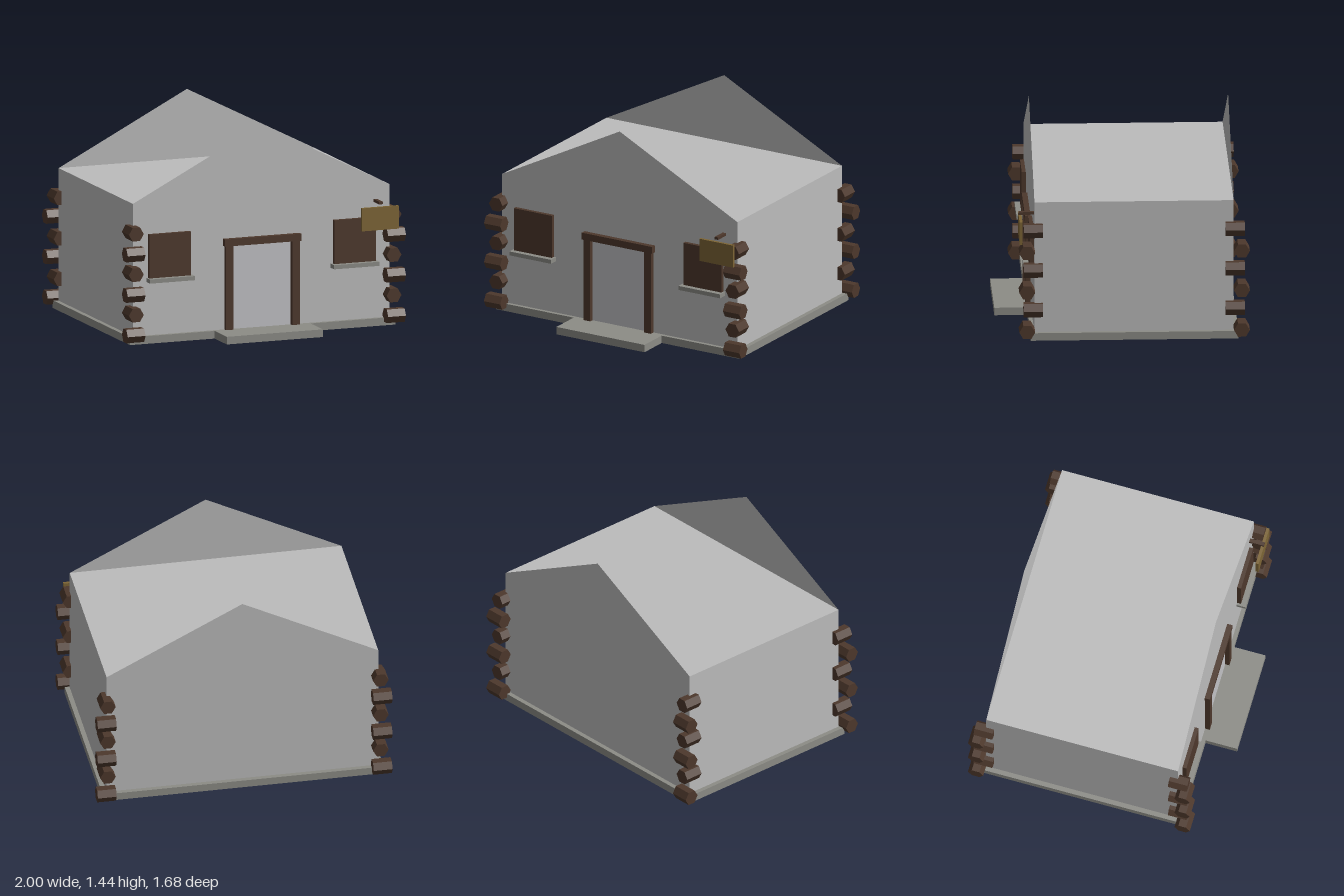
import * as THREE from 'three';

const mat = (name, color) => {
  const m = new THREE.MeshStandardMaterial({ color });
  m.name = name;
  return m;
};

export function createModel() {
  const house = new THREE.Group();
  house.name = 'cabin';
  const plaster = mat('plaster', 0xbcbcbc);
  const stone = mat('stone', 0x8c8c86);
  const wood = mat('darkWood', 0x4d382c);
  const signWood = mat('signWood', 0x7d6535);
  const doorPaint = mat('doorPaint', 0xc2c2c5);
  const gablePlaster = mat('gablePlaster', 0xbcbcbc);
  gablePlaster.side = THREE.DoubleSide;
  const logWood = mat('logWood', 0x4d382c);
  logWood.flatShading = true;

  const add = (name, geometry, material) => {
    const mesh = new THREE.Mesh(geometry, material);
    mesh.name = name;
    house.add(mesh);
    return mesh;
  };
  // Box given by its limits on each axis
  const box = (name, material, x0, x1, y0, y1, z0, z1) => {
    const mesh = add(name, new THREE.BoxGeometry(x1 - x0, y1 - y0, z1 - z0), material);
    mesh.position.set((x0 + x1) / 2, (y0 + y1) / 2, (z0 + z1) / 2);
    return mesh;
  };

  const W = 0.922, EAVE = 0.967, RIDGE = 1.438, FRONT = 0.595, BACK = -0.735;

  // Walls with a flat ceiling, floor just below the foundation
  box('walls', plaster, -W, W, 0.011, EAVE, BACK, FRONT);

  // Sheet-thin gables standing on the front and back walls
  const gable = new THREE.Shape([
    new THREE.Vector2(-W, EAVE), new THREE.Vector2(W, EAVE), new THREE.Vector2(0, RIDGE),
  ]);
  add('frontGable', new THREE.ShapeGeometry(gable), gablePlaster).position.z = FRONT;
  const backGable = add('backGable', new THREE.ShapeGeometry(gable), gablePlaster);
  backGable.position.z = BACK;
  backGable.rotation.y = Math.PI;

  // Foundation and doorstep
  box('foundation', stone, -0.954, 0.954, 0.014, 0.066, -0.767, 0.621);
  box('doorstep', stone, -0.345, 0.345, 0.014, 0.066, 0.621, 0.84);

  // Door with its frame
  box('door', doorPaint, -0.211, 0.211, 0.066, 0.635, FRONT, FRONT + 0.004);
  box('doorLintel', wood, -0.275, 0.275, 0.635, 0.683, FRONT, 0.632);
  for (const s of [-1, 1]) {
    const post = box('doorPost', wood, -0.027, 0.027, 0, 0.635, FRONT - 0.005, 0.628);
    post.position.x = s * 0.238;

    // Window shutter and sill on each side
    const shutter = box('window', wood, -0.149, 0.149, 0.457, 0.754, FRONT, 0.622);
    shutter.position.x = s * 0.664;
    const sill = box('windowSill', stone, -0.163, 0.163, 0.429, 0.457, FRONT, 0.658);
    sill.position.x = s * 0.662;
  }

  // Hanging sign and its bracket
  box('signBracket', wood, 0.807, 0.833, 0.855, 0.873, FRONT, 0.697);
  box('signBoard', signWood, 0.685, 0.949, 0.68, 0.836, 0.675, 0.695);

  // Six crossing hexagonal log ends at each corner
  const logGeo = new THREE.CylinderGeometry(0.053, 0.053, 0.128, 6);
  // Lay logs along z, with points to the sides and flats above and below
  logGeo.rotateY(Math.PI / 6).rotateX(Math.PI / 2);
  for (const sx of [-1, 1]) {
    for (const front of [true, false]) {
      for (let i = 0; i < 6; i++) {
        const log = add('cornerLog', logGeo, logWood);
        const y = 0.085 + i * 0.1375;
        if (i % 2 === 0) {
          log.rotation.y = Math.PI / 2;
          log.position.set(sx * 0.936, y, front ? 0.646 : -0.787);
        } else {
          log.position.set(sx * 0.926, y, front ? 0.604 : -0.744);
        }
      }
    }
  }
  return house;
}
